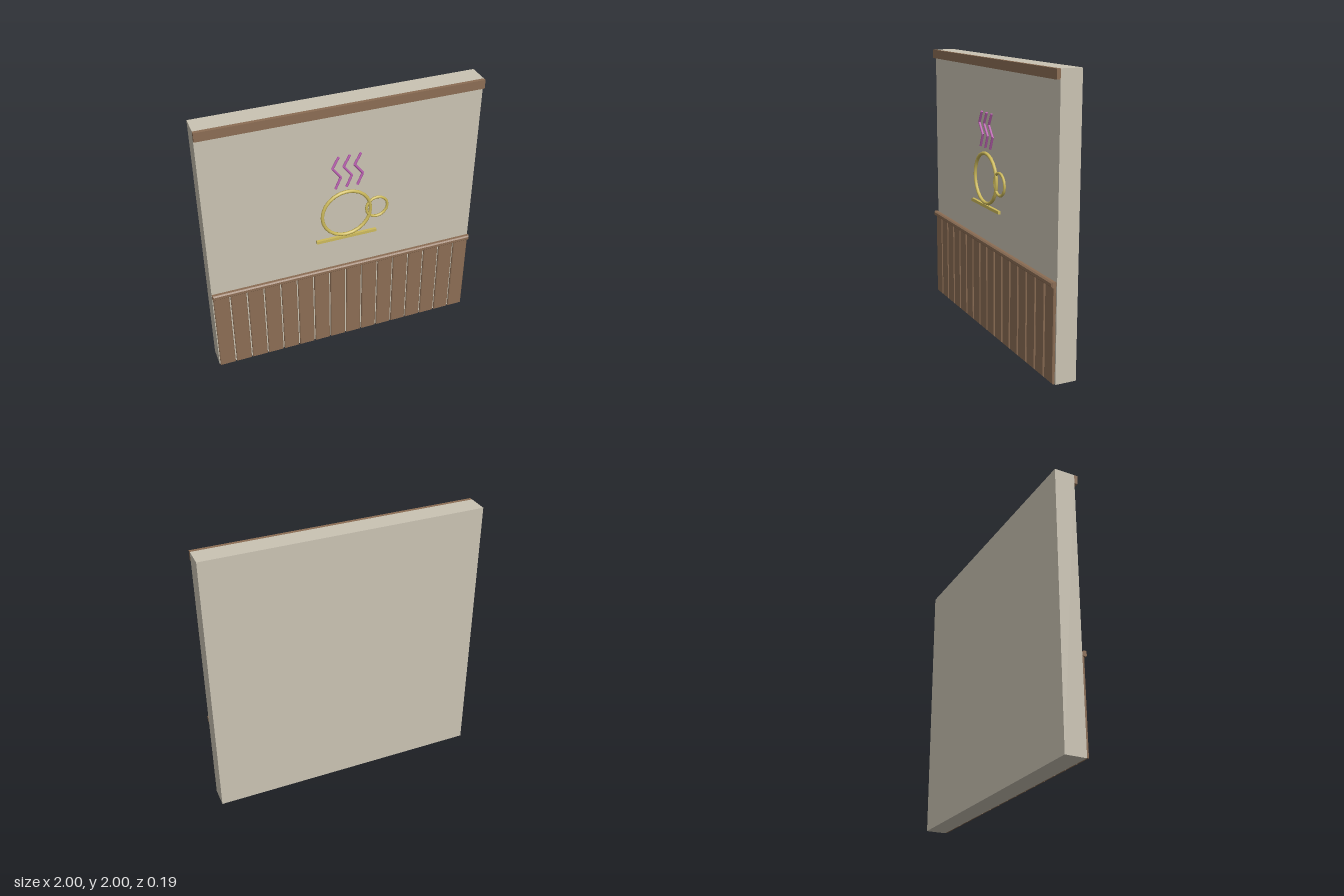
import * as THREE from 'three';

const material = (name, color) => {
  const m = new THREE.MeshStandardMaterial({ color });
  m.name = name;
  return m;
};

export function createModel() {
  const plaster = material('plaster', 0xcac3b3);
  const wood = material('wood', 0x8b6d54);
  const yellow = material('yellow tube', 0xcdba5c);
  const pink = material('pink tube', 0xbb62b2);

  const model = new THREE.Group();
  model.name = 'panelledWall';

  const add = (name, geometry, mat, x, y, z, parent = model) => {
    const mesh = new THREE.Mesh(geometry, mat);
    mesh.name = name;
    mesh.position.set(x, y, z);
    parent.add(mesh);
    return mesh;
  };

  // Box with chamfered edges, centred on the origin
  const bevelBox = (w, h, d, b) => {
    const x = w / 2 - b, y = h / 2 - b;
    const shape = new THREE.Shape([
      new THREE.Vector2(-x, -y), new THREE.Vector2(x, -y),
      new THREE.Vector2(x, y), new THREE.Vector2(-x, y),
    ]);
    return new THREE.ExtrudeGeometry(shape, {
      depth: d - 2 * b, bevelEnabled: true, bevelThickness: b, bevelSize: b, bevelSegments: 1,
    }).translate(0, 0, b - d / 2);
  };

  // Wall slab and its top trim
  const face = 0.055;
  add('wall', new THREE.BoxGeometry(2, 2, 0.15), plaster, 0, 1, face - 0.075);
  add('topTrim', new THREE.BoxGeometry(2, 0.065, 0.025), wood, 0, 1.9675, face + 0.0125);

  // Wainscot planks under a chair rail
  const wainscot = new THREE.Group();
  wainscot.name = 'wainscot';
  model.add(wainscot);
  const plank = bevelBox(0.115, 0.65, 0.02, 0.006);
  for (let i = 0; i < 16; i++) {
    add('plank', plank, wood, -0.9375 + i * 0.125, 0.328, face + 0.01, wainscot);
  }
  add('chairRail', bevelBox(2, 0.038, 0.038, 0.009), wood, 0, 0.672, face + 0.019, wainscot);

  // Tube sign: cup, handle and saucer
  const sign = new THREE.Group();
  sign.name = 'cupSign';
  sign.position.z = 0.083;
  model.add(sign);
  add('cup', new THREE.TorusGeometry(0.18, 0.0125, 8, 24), yellow, 0, 1.155, 0, sign);
  add('handle', new THREE.TorusGeometry(0.08, 0.01, 8, 16), yellow, 0.228, 1.155, 0, sign);
  add('saucer', new THREE.BoxGeometry(0.45, 0.022, 0.02), yellow, 0, 0.955, 0, sign);

  // Three zigzag wisps of steam, each made of straight rods
  const zigzag = [[0, 1.38], [0.037, 1.463], [-0.023, 1.543], [0.02, 1.622]]
    .map(([x, y]) => new THREE.Vector3(x, y, 0));
  for (const x of [-0.08, 0, 0.08]) {
    for (let i = 0; i < 3; i++) {
      const path = new THREE.Vector3().subVectors(zigzag[i + 1], zigzag[i]);
      const mid = new THREE.Vector3().lerpVectors(zigzag[i], zigzag[i + 1], 0.5);
      const rod = new THREE.CylinderGeometry(0.009, 0.009, path.length() + 0.006, 8);
      add('steam', rod, pink, x + mid.x, mid.y, 0, sign).rotation.z = -Math.atan2(path.x, path.y);
    }
  }

  return model;
}
